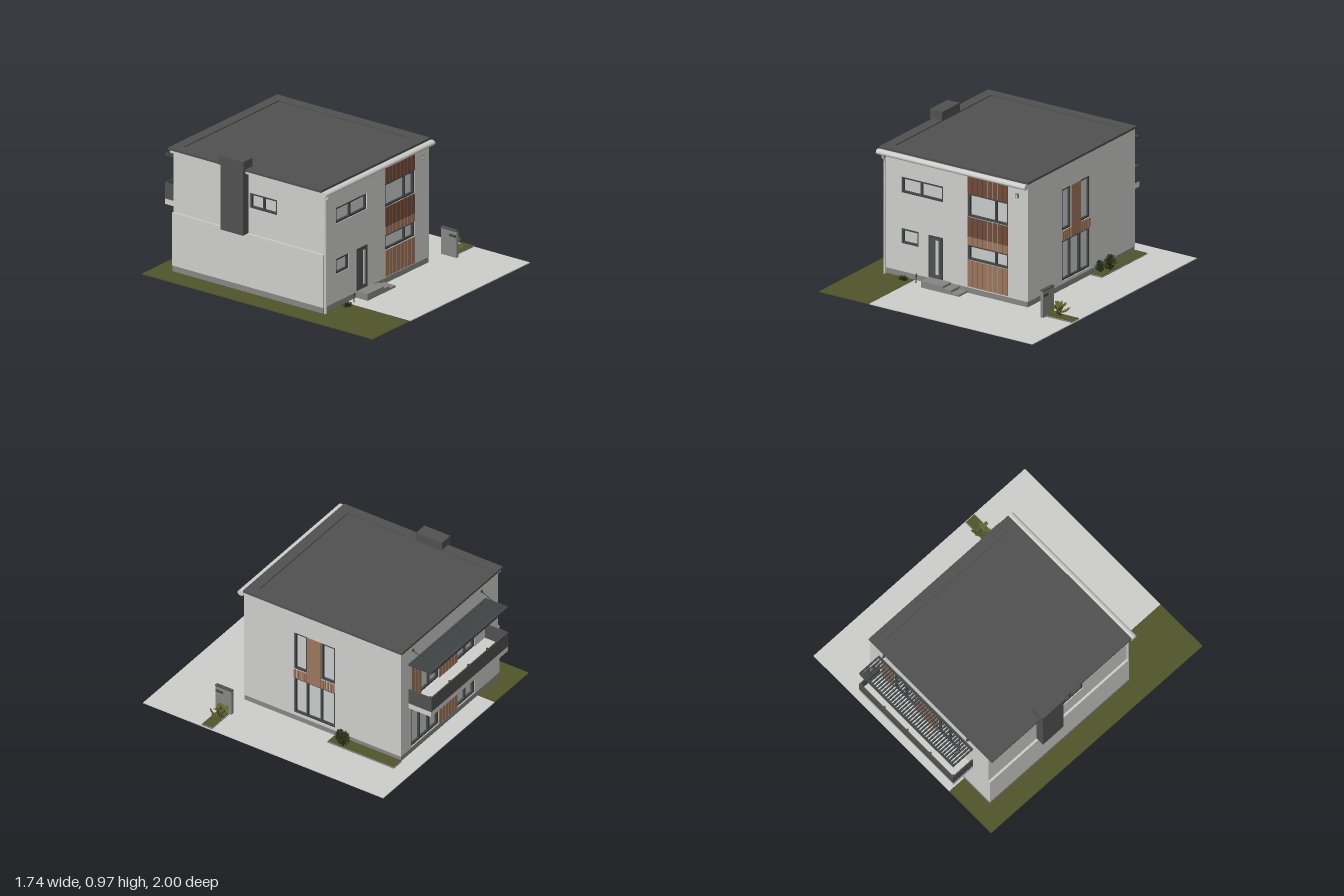
import * as THREE from 'three';
import { mergeGeometries } from 'three/addons/utils/BufferGeometryUtils.js';

const mat = (name, color, side = THREE.FrontSide) => {
  const m = new THREE.MeshStandardMaterial({ color, side });
  m.name = name;
  return m;
};

export function createModel() {
  const M = {
    render: mat('pale render', 0xcdcdcb),
    roof: mat('dark roofing', 0x505050),
    frame: mat('charcoal frame', 0x434747),
    glass: mat('pale glass', 0xc8caca),
    wood: mat('cedar', 0x9c755d),
    darkWood: mat('dark cedar', 0x704b39),
    grass: mat('grass', 0x4f552b),
    concrete: mat('concrete', 0x858583),
    foliage: mat('dark foliage', 0x2c3319, THREE.DoubleSide),
    leaf: mat('broad leaf', 0x5c6330, THREE.DoubleSide),
  };
  const house = new THREE.Group();
  house.name = 'house';

  const mesh = (name, geo, material, parent = house) => {
    const m = new THREE.Mesh(geo, material);
    m.name = name;
    parent.add(m);
    return m;
  };
  // Box given by its limits on each axis
  const box = (name, material, x0, x1, y0, y1, z0, z1, parent = house) => {
    const m = mesh(name, new THREE.BoxGeometry(x1 - x0, y1 - y0, z1 - z0), material, parent);
    m.position.set((x0 + x1) / 2, (y0 + y1) / 2, (z0 + z1) / 2);
    return m;
  };
  const rectPath = (P, [a, b, c, d]) => {
    const p = new P();
    p.moveTo(a, c); p.lineTo(b, c); p.lineTo(b, d); p.lineTo(a, d); p.closePath();
    return p;
  };
  // Plate with rectangular holes; rects are [u0, u1, v0, v1]
  const plate = (outer, holes, depth) => {
    const s = rectPath(THREE.Shape, outer);
    s.holes = holes.map(h => rectPath(THREE.Path, h));
    return new THREE.ExtrudeGeometry(s, { depth, bevelEnabled: false });
  };
  const rod = (name, material, a, b, r, parent = house) =>
    mesh(name, new THREE.TubeGeometry(new THREE.LineCurve3(new THREE.Vector3(...a), new THREE.Vector3(...b)), 1, r, 6), material, parent);

  // Recessed window with frame and mullions at the given u positions
  const windowUnit = (parent, rect, mullions = []) => {
    const [a, b, c, d] = rect, t = 0.014;
    const g = new THREE.Group();
    g.name = 'window';
    parent.add(g);
    const edges = [a, ...mullions, b];
    const panes = edges.slice(1).map((e, i) => [
      edges[i] + (i ? t / 2 : t), e - (i < mullions.length ? t / 2 : t), c + t, d - t]);
    const f = mesh('windowFrame', plate(rect, panes, 0.022), M.frame, g);
    f.position.z = -0.028;
    box('windowGlass', M.glass, a + 0.003, b - 0.003, c + 0.003, d - 0.003, -0.032, -0.022, g);
  };
  // Vertical cladding boards over a pale backing
  const cladding = (parent, [a, b, c, d], material, count) => {
    const g = new THREE.Group();
    g.name = 'cladding';
    parent.add(g);
    const step = (b - a) / count;
    for (let i = 0; i < count; i++)
      box('board', material, a + i * step + 0.003, a + (i + 1) * step - 0.003, c, d, -0.002, 0.006, g);
  };
  // Wall in its own frame: u to the right, y up, z outward
  const wall = (name, u0, u1, windows, pos, turn) => {
    const g = new THREE.Group();
    g.name = name;
    g.position.set(...pos);
    g.rotation.y = turn;
    house.add(g);
    const w = mesh('wallPanel', plate([u0, u1, 0.05, 0.9], windows.map(v => v.rect), 0.04), M.render, g);
    w.position.z = -0.04;
    windows.forEach(v => windowUnit(g, v.rect, v.mullions));
    return g;
  };

  // Ground
  box('lawn', M.grass, -0.87, -0.46, 0.004, 0.01, -0.95, 1);
  box('paving', M.render, -0.46, 0.87, 0.004, 0.01, -0.95, 0.85);
  box('pavement', M.render, -0.46, 0.87, 0.004, 0.01, 0.85, 1);
  box('sideBedKerb', M.concrete, 0.46, 0.555, 0.006, 0.018, -0.82, -0.28);
  box('sideBedGrass', M.grass, 0.46, 0.55, 0.016, 0.022, -0.815, -0.285);
  box('frontBedKerb', M.concrete, 0.655, 0.865, 0.006, 0.018, 0.445, 0.53);
  box('frontBedGrass', M.grass, 0.66, 0.86, 0.016, 0.022, 0.45, 0.525);

  // Plinth and walls
  box('plinth', M.concrete, -0.712, 0.457, 0, 0.053, -0.812, 0.457);
  const front = wall('frontWall', -0.7, 0.46, [
    { rect: [-0.57, -0.23, 0.615, 0.73], mullions: [-0.41] },
    { rect: [-0.57, -0.43, 0.25, 0.36] },
    { rect: [-0.03, 0.3, 0.56, 0.73], mullions: [0.195] },
    { rect: [-0.03, 0.3, 0.25, 0.36], mullions: [0.195] },
  ], [0, 0, 0.46], 0);
  cladding(front, [-0.03, 0.3, 0.73, 0.87], M.darkWood, 8);
  cladding(front, [-0.03, 0.3, 0.42, 0.56], M.darkWood, 8);
  cladding(front, [-0.03, 0.3, 0.36, 0.42], M.wood, 8);
  cladding(front, [-0.03, 0.3, 0.06, 0.25], M.wood, 8);

  const right = wall('rightWall', -0.46, 0.815, [
    { rect: [-0.055, 0.28, 0.07, 0.36], mullions: [0.05, 0.165] },
    { rect: [-0.055, 0.055, 0.43, 0.73] },
    { rect: [0.165, 0.28, 0.43, 0.73] },
  ], [0.46, 0, 0], Math.PI / 2);
  box('claddingPanel', M.wood, 0.055, 0.165, 0.36, 0.73, -0.002, 0.005, right);
  cladding(right, [-0.055, 0.055, 0.36, 0.43], M.wood, 5);
  cladding(right, [0.165, 0.28, 0.36, 0.43], M.wood, 5);

  const back = wall('backWall', -0.46, 0.7, [
    { rect: [-0.34, -0.01, 0.06, 0.36], mullions: [-0.23, -0.12] },
    { rect: [0.21, 0.42, 0.06, 0.36], mullions: [0.315] },
    { rect: [-0.22, -0.01, 0.44, 0.73], mullions: [-0.115] },
    { rect: [0.21, 0.42, 0.44, 0.73], mullions: [0.315] },
  ], [0, 0, -0.815], Math.PI);
  cladding(back, [-0.01, 0.21, 0.06, 0.36], M.wood, 6);
  cladding(back, [-0.01, 0.21, 0.44, 0.73], M.wood, 6);
  cladding(back, [-0.34, -0.22, 0.44, 0.73], M.wood, 3);

  wall('leftWall', -0.815, 0.46, [
    { rect: [-0.17, 0.06, 0.62, 0.73], mullions: [-0.055] },
  ], [-0.7, 0, 0], -Math.PI / 2);
  box('leftLowerWall', M.render, -0.716, -0.69, 0.053, 0.435, -0.815, 0.46);

  // Front door and steps
  box('door', M.frame, -0.345, -0.23, 0.06, 0.36, 0.45, 0.466);
  box('doorLeaf', M.roof, -0.33, -0.245, 0.065, 0.345, 0.465, 0.469);
  box('doorGlass', M.glass, -0.282, -0.26, 0.09, 0.335, 0.467, 0.472);
  [[-0.345, -0.165, 0.058], [-0.165, -0.1, 0.042], [-0.1, -0.035, 0.024]].forEach(([a, b, h]) =>
    box('step', M.concrete, a, b, 0.005, h, 0.45, 0.555));
  box('wallLamp', M.concrete, 0.366, 0.388, 0.785, 0.815, 0.46, 0.475);
  box('wallLampFace', M.render, 0.37, 0.384, 0.789, 0.808, 0.474, 0.478);
  rod('gardenLampPost', M.frame, [-0.425, 0.01, 0.5], [-0.42, 0.08, 0.5], 0.004);

  // Roof
  const rim = mesh('roofRim', plate([-0.745, 0.465, -0.465, 0.825], [[-0.67, 0.385, -0.385, 0.75]], 0.016), M.roof);
  rim.rotation.x = -Math.PI / 2;
  rim.position.y = 0.896;
  box('roofDeck', M.roof, -0.69, 0.45, 0.88, 0.904, -0.8, 0.45);
  box('leftFascia', M.render, -0.735, -0.69, 0.875, 0.897, -0.815, 0.46);

  // Gutter and downpipe
  const gutter = mesh('gutter', new THREE.CylinderGeometry(0.026, 0.026, 1.21, 16), M.render);
  gutter.rotation.z = Math.PI / 2;
  gutter.scale.x = 0.75;
  gutter.position.set(-0.14, 0.882, 0.484);
  const pipe = new THREE.CatmullRomCurve3([[0.87, 0.492], [0.848, 0.49], [0.832, 0.472], [0.8, 0.469], [0.4, 0.469], [0.01, 0.469]]
    .map(([y, z]) => new THREE.Vector3(-0.7, y, z)), false, 'centripetal');
  mesh('downpipe', new THREE.TubeGeometry(pipe, 40, 0.009, 8), M.render);

  // Chimney
  box('chimneyShaft', M.roof, -0.762, -0.69, 0.435, 0.92, -0.37, -0.18);
  box('chimneyCap', M.roof, -0.77, -0.67, 0.905, 0.972, -0.38, -0.17);

  // Balcony
  box('balconySlab', M.render, -0.55, 0.37, 0.4, 0.44, -0.998, -0.81);
  box('balconyFrontPanel', M.roof, -0.55, 0.37, 0.44, 0.555, -1, -0.992);
  for (const x of [-0.55, 0.362]) box('balconySidePanel', M.roof, x, x + 0.008, 0.44, 0.555, -0.995, -0.815);
  for (let i = 0; i < 5; i++) {
    const x = -0.54 + i * 0.2245;
    box('balconyPost', M.frame, x - 0.005, x + 0.005, 0.42, 0.558, -0.992, -0.982);
  }

  // Slatted canopy and its stays
  box('canopyFrontRail', M.frame, -0.55, 0.37, 0.75, 0.768, -1, -0.985);
  box('canopyBackRail', M.frame, -0.55, 0.37, 0.75, 0.766, -0.83, -0.812);
  for (let i = 0; i < 42; i++) {
    const x = -0.55 + i * 0.0222;
    box('canopySlat', M.frame, x, x + 0.01, 0.752, 0.766, -0.99, -0.82);
  }
  for (const x of [-0.5, 0.32]) {
    rod('canopyStay', M.frame, [x, 0.85, -0.815], [x, 0.765, -0.99], 0.003);
    box('stayBracket', M.frame, x - 0.008, x + 0.008, 0.842, 0.858, -0.825, -0.813);
  }

  // Letterbox pillar
  box('letterboxPillar', M.concrete, 0.632, 0.654, 0.005, 0.2, 0.43, 0.56);
  box('pillarCap', M.roof, 0.63, 0.656, 0.198, 0.206, 0.428, 0.562);
  box('letterboxSlot', M.frame, 0.63, 0.656, 0.155, 0.173, 0.5, 0.556);

  // Plants: folded diamond leaves spread round a centre
  let seed = 7;
  const rand = () => (seed = (seed * 16807) % 2147483647) / 2147483647;
  const plant = (name, material, [x, y, z], r, h, count, length, width) => {
    const leaves = [];
    for (let i = 0; i < count; i++) {
      const g = new THREE.PlaneGeometry(width, length, 2, 2);
      const p = g.attributes.position;
      for (let k = 0; k < p.count; k++) {
        const v = p.getY(k) / length;
        p.setXYZ(k, p.getX(k) * (1 - 1.7 * Math.abs(v)), p.getY(k), -v * v * length * 0.5);
      }
      g.computeVertexNormals();
      const a = rand() * Math.PI * 2, lift = rand(), out = Math.sqrt(rand()) * r * Math.sin(Math.PI * (0.2 + 0.7 * lift));
      g.rotateX(0.3 + rand() * 1.1);
      g.rotateY(a);
      g.translate(Math.sin(a) * out, h * (0.15 + 0.75 * lift), Math.cos(a) * out);
      leaves.push(g);
    }
    mesh(name, mergeGeometries(leaves), material).position.set(x, y, z);
    for (let i = 0; i < 4; i++) {
      const a = i * 1.6;
      rod(name + 'Stem', M.foliage, [x, y, z], [x + Math.sin(a) * r * 0.5, y + h * 0.75, z + Math.cos(a) * r * 0.5], 0.0025);
    }
  };
  plant('shrub', M.foliage, [0.5, 0.015, -0.345], 0.035, 0.09, 130, 0.026, 0.012);
  plant('tallShrub', M.foliage, [0.54, 0.015, -0.4], 0.045, 0.125, 170, 0.028, 0.012);
  plant('smallBush', M.foliage, [-0.515, 0.008, 0.515], 0.035, 0.035, 90, 0.02, 0.012);
  plant('broadLeafPlant', M.leaf, [0.725, 0.018, 0.475], 0.062, 0.085, 34, 0.05, 0.03);

  return house;
}
